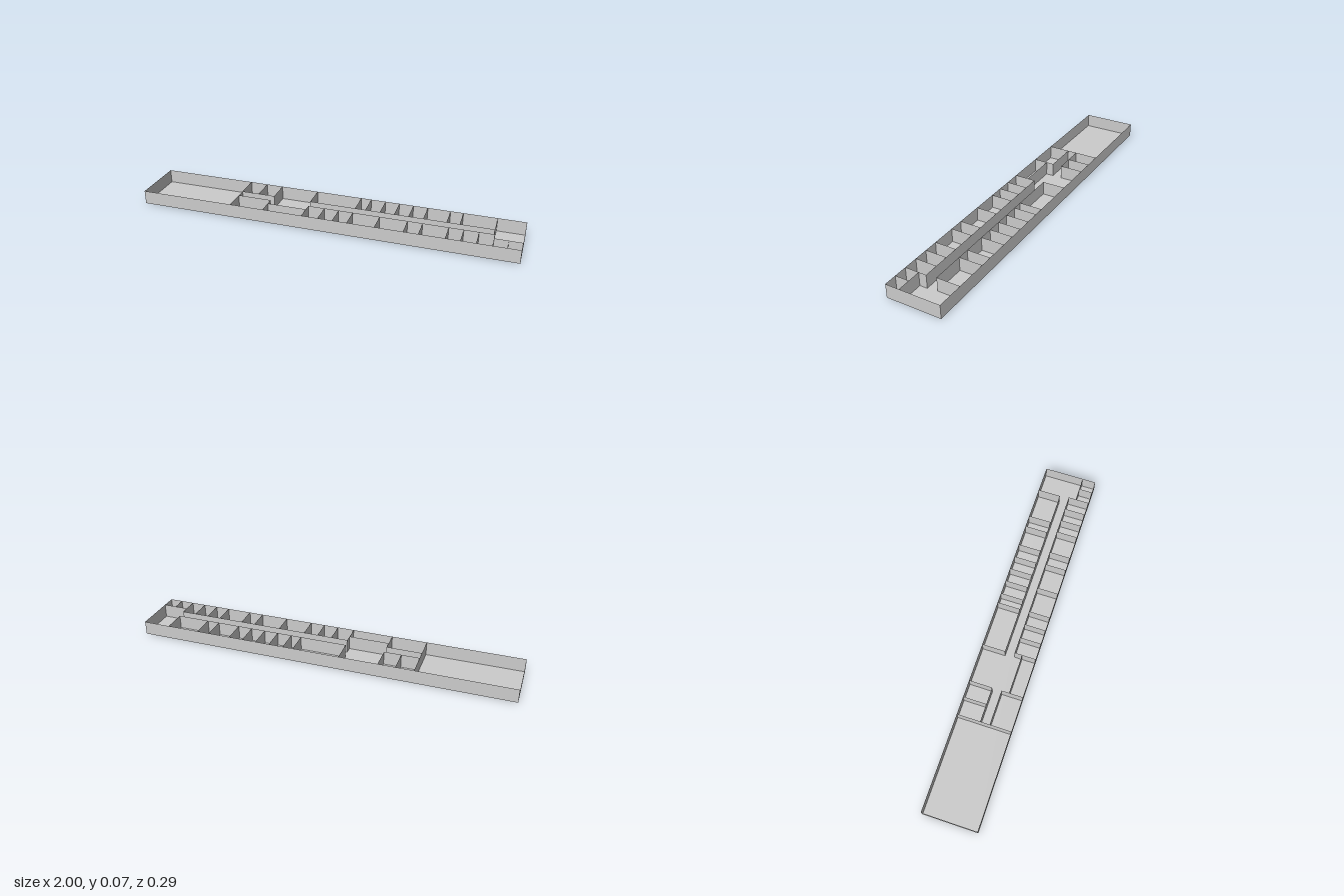
import * as THREE from 'three';

const H = 0.073; // wall height
const X = 1;     // half length
const Z = 0.143; // half depth
const BACK = -0.02, FRONT = 0.03, RECESS = 0.07; // corridor wall lines

export function createModel() {
  const model = new THREE.Group();
  model.name = 'floorPlan';
  const material = new THREE.MeshStandardMaterial({
    color: 0xcccccc, flatShading: true, side: THREE.DoubleSide,
  });

  // Thin upright wall between two plan points
  function wall(parent, name, x1, z1, x2, z2) {
    const geometry = new THREE.PlaneGeometry(Math.hypot(x2 - x1, z2 - z1), H);
    const mesh = new THREE.Mesh(geometry, material);
    mesh.name = name;
    mesh.position.set((x1 + x2) / 2, H / 2, (z1 + z2) / 2);
    mesh.rotation.y = -Math.atan2(z2 - z1, x2 - x1);
    parent.add(mesh);
  }

  function group(name) {
    const g = new THREE.Group();
    g.name = name;
    model.add(g);
    return g;
  }

  // Floor slab
  const floor = new THREE.Mesh(new THREE.PlaneGeometry(2 * X, 2 * Z), material);
  floor.name = 'floor';
  floor.rotation.x = -Math.PI / 2;
  model.add(floor);

  // Outer walls
  const outer = group('outerWalls');
  wall(outer, 'frontWall', -X, Z, X, Z);
  wall(outer, 'backWall', X, -Z, -X, -Z);
  wall(outer, 'leftEndWall', X, Z, X, -Z);
  wall(outer, 'rightEndWall', -X, -Z, -X, Z);

  // Wall closing off the large hall
  wall(model, 'hallWall', -0.494, Z, -0.494, -Z);

  // Corridor walls, with recessed stretches along the front
  const corridor = group('corridorWalls');
  for (const [x1, x2, z] of [
    [-0.494, -0.31, BACK], [-0.106, 0.855, BACK],
    [-0.494, -0.31, FRONT], [-0.31, -0.098, RECESS],
    [-0.098, 0.862, FRONT], [0.862, X, RECESS],
  ]) wall(corridor, 'corridorWall', x1, z, x2, z);

  // Partitions of the back rooms
  const backRooms = group('backPartitions');
  for (const x of [-0.4, -0.31, -0.106, 0.14, 0.195, 0.272, 0.347, 0.422, 0.498, 0.616, 0.682, 0.855])
    wall(backRooms, 'backPartition', x, -Z, x, BACK);

  // Partitions of the front rooms
  const frontRooms = group('frontPartitions');
  for (const x of [-0.31, -0.098, -0.01, 0.067, 0.143, 0.285, 0.43, 0.506, 0.637, 0.711, 0.786, 0.862])
    wall(frontRooms, 'frontPartition', x, FRONT, x, Z);
  wall(frontRooms, 'frontPartition', 0.932, RECESS, 0.932, Z);

  return model;
}
